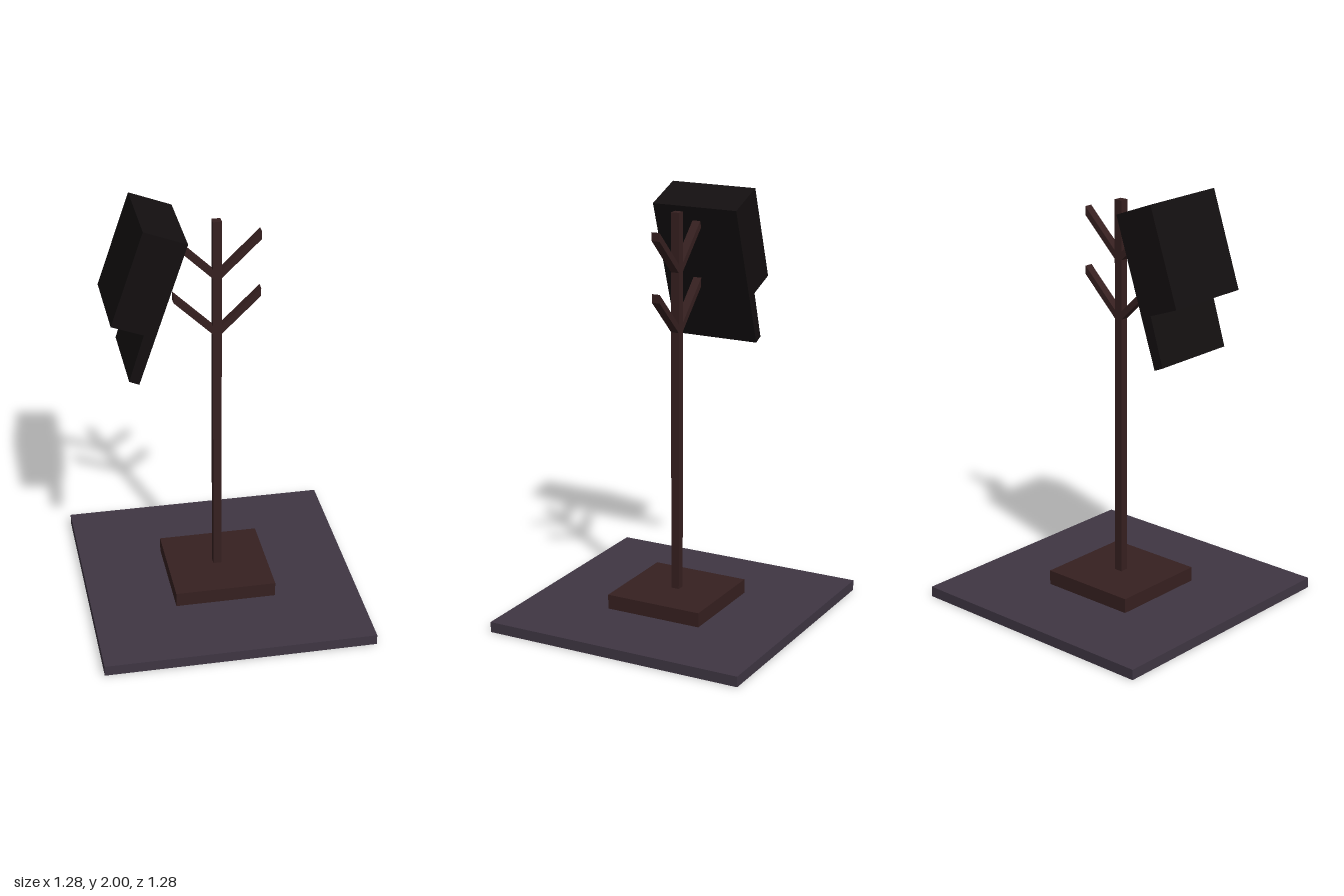
import * as THREE from 'three';

const material = (color) => new THREE.MeshStandardMaterial({ color, flatShading: true });
const wood = material(0x362020);
const cloth = material(0x130f10);
const rugTop = material(0x3f3643);
const rugBack = material(0x48454a);

function box(name, w, h, d, y, mat) {
  const mesh = new THREE.Mesh(new THREE.BoxGeometry(w, h, d), mat);
  mesh.name = name;
  mesh.position.y = y + h / 2;
  return mesh;
}

// Extrudes an outline in the xy plane, centred on z = 0
function slab(name, outline, depth, mat) {
  const shape = new THREE.Shape(outline.map(([x, y]) => new THREE.Vector2(x, y)));
  const geometry = new THREE.ExtrudeGeometry(shape, { depth, bevelEnabled: false });
  geometry.translate(0, 0, -depth / 2);
  const mesh = new THREE.Mesh(geometry, mat);
  mesh.name = name;
  return mesh;
}

// Square rug shell: top, sides and a border sloping in to a raised underside
function rugShell() {
  const rings = [[0, 0.05], [0.64, 0.05], [0.64, 0], [0.525, 0.025]];
  const points = [];
  const corner = (r, y, k) => {
    const a = Math.PI / 4 + k * Math.PI / 2;
    return [r * Math.SQRT2 * Math.cos(a), y, r * Math.SQRT2 * Math.sin(a)];
  };
  for (let i = 0; i < 3; i++) {
    for (let k = 0; k < 4; k++) {
      const a = corner(...rings[i], k), b = corner(...rings[i], k + 1);
      const c = corner(...rings[i + 1], k), d = corner(...rings[i + 1], k + 1);
      if (i > 0) points.push(...a, ...b, ...c);
      points.push(...b, ...d, ...c);
    }
  }
  const geometry = new THREE.BufferGeometry();
  geometry.setAttribute('position', new THREE.Float32BufferAttribute(points, 3));
  geometry.computeVertexNormals();
  const mesh = new THREE.Mesh(geometry, rugTop);
  mesh.name = 'rug';
  return mesh;
}

export function createModel() {
  const model = new THREE.Group();
  model.name = 'coatStand';

  // Rug and its backing
  model.add(rugShell());
  const backing = new THREE.Mesh(new THREE.PlaneGeometry(1.05, 1.05), rugBack);
  backing.name = 'rugBacking';
  backing.rotation.x = Math.PI / 2;
  backing.position.y = 0.025;
  model.add(backing);

  // Pedestal and pole
  model.add(box('pedestal', 0.48, 0.07, 0.48, 0.05, wood));
  model.add(box('pole', 0.04, 1.81, 0.04, 0.12, wood));

  // Two pairs of slanted hooks with upright end cuts
  for (const y of [1.355, 1.635]) {
    for (const s of [-1, 1]) {
      const outline = [[0, y], [s * 0.2, y + 0.195], [s * 0.2, y + 0.235], [0, y + 0.04]];
      model.add(slab('hook', outline, 0.04, wood));
    }
  }

  // Coat hanging from the right-hand hook
  const coat = [[-0.36, 2], [-0.51, 1.56], [-0.365, 1.505], [-0.435, 1.28], [-0.39, 1.26], [-0.165, 1.925]];
  model.add(slab('coat', coat, 0.43, cloth));

  return model;
}
